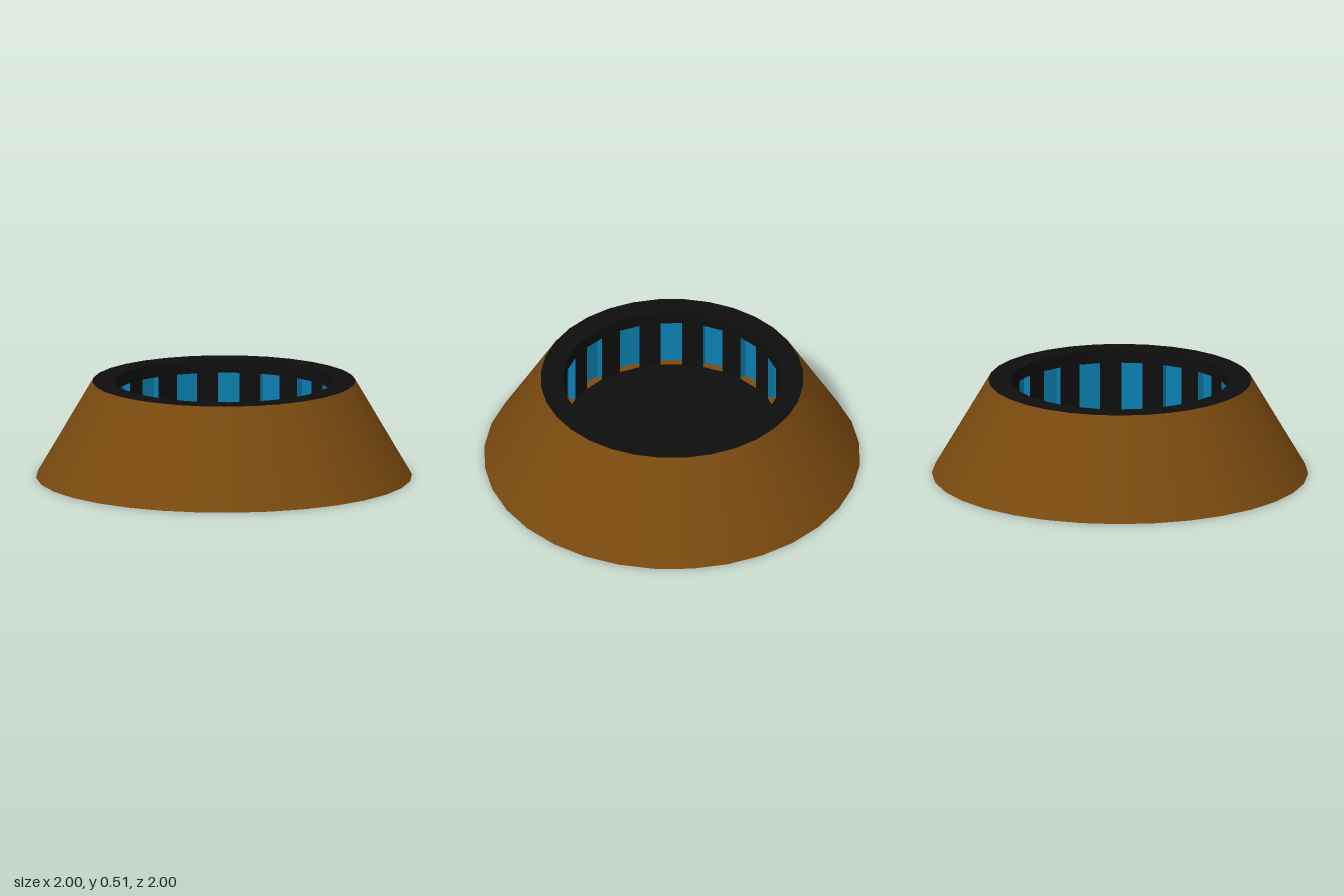
import * as THREE from 'three';

const SEGMENTS = 32;
const STEP = (Math.PI * 2) / SEGMENTS;
const HEIGHT = 0.515, BASE_R = 1, TOP_R = 0.7;
const WELL_R = 0.58, NICHE_R = 0.62;
const FLOOR_Y = 0.17, NICHE_TOP = 0.445;

export function createModel() {
  const model = new THREE.Group();
  const material = (name, color, options = {}) =>
    new THREE.MeshStandardMaterial({ name, color, ...options });
  const brown = material('brown', 0x7a4a0f, { side: THREE.DoubleSide });
  const black = material('black', 0x0e0e0e, { side: THREE.DoubleSide });
  const blue = material('blue', 0x0b7fb0, { side: THREE.DoubleSide, flatShading: true });

  const add = (parent, name, geometry, mat) => {
    const mesh = new THREE.Mesh(geometry, mat);
    mesh.name = name;
    parent.add(mesh);
    return mesh;
  };
  // Surface swept between two [radius, height] points over part of a turn
  const band = (a, b, segments = SEGMENTS, start = 0) =>
    new THREE.LatheGeometry([new THREE.Vector2(...a), new THREE.Vector2(...b)],
      segments, start, segments * STEP);

  // Sloped body and its underside
  add(model, 'slopedBody', new THREE.CylinderGeometry(TOP_R, BASE_R, HEIGHT, SEGMENTS, 1, true), brown)
    .position.y = HEIGHT / 2;
  add(model, 'underside', new THREE.CircleGeometry(BASE_R, SEGMENTS).rotateX(Math.PI / 2), brown);

  // Flat rim, sunken floor and the wall strip above the niches
  add(model, 'topRim', band([TOP_R, HEIGHT], [WELL_R, HEIGHT]), black);
  add(model, 'wellFloor', new THREE.CircleGeometry(WELL_R, SEGMENTS).rotateX(-Math.PI / 2), black)
    .position.y = FLOOR_Y;
  add(model, 'upperWall', band([WELL_R, HEIGHT], [WELL_R, NICHE_TOP]), black);

  // Wall pillars alternate with shallow blue niches
  const nicheHeight = NICHE_TOP - FLOOR_Y;
  for (let i = 0; i < SEGMENTS; i++) {
    const start = i * STEP;
    if (i % 2) {
      add(model, 'wallPillar', band([WELL_R, NICHE_TOP], [WELL_R, FLOOR_Y], 1, start), black);
      continue;
    }
    const niche = new THREE.Group();
    niche.name = 'niche';
    model.add(niche);
    add(niche, 'nichePanel', band([NICHE_R, NICHE_TOP], [NICHE_R, FLOOR_Y], 1, start), blue);
    add(niche, 'nicheSill', band([NICHE_R, FLOOR_Y], [WELL_R, FLOOR_Y], 1, start), brown);
    add(niche, 'nicheCeiling', band([NICHE_R, NICHE_TOP], [WELL_R, NICHE_TOP], 1, start), black);
    for (const angle of [start, start + STEP]) {
      const side = new THREE.PlaneGeometry(NICHE_R - WELL_R, nicheHeight)
        .translate((NICHE_R + WELL_R) / 2, FLOOR_Y + nicheHeight / 2, 0)
        .rotateY(angle - Math.PI / 2);
      add(niche, 'nicheSide', side, blue);
    }
  }
  return model;
}
